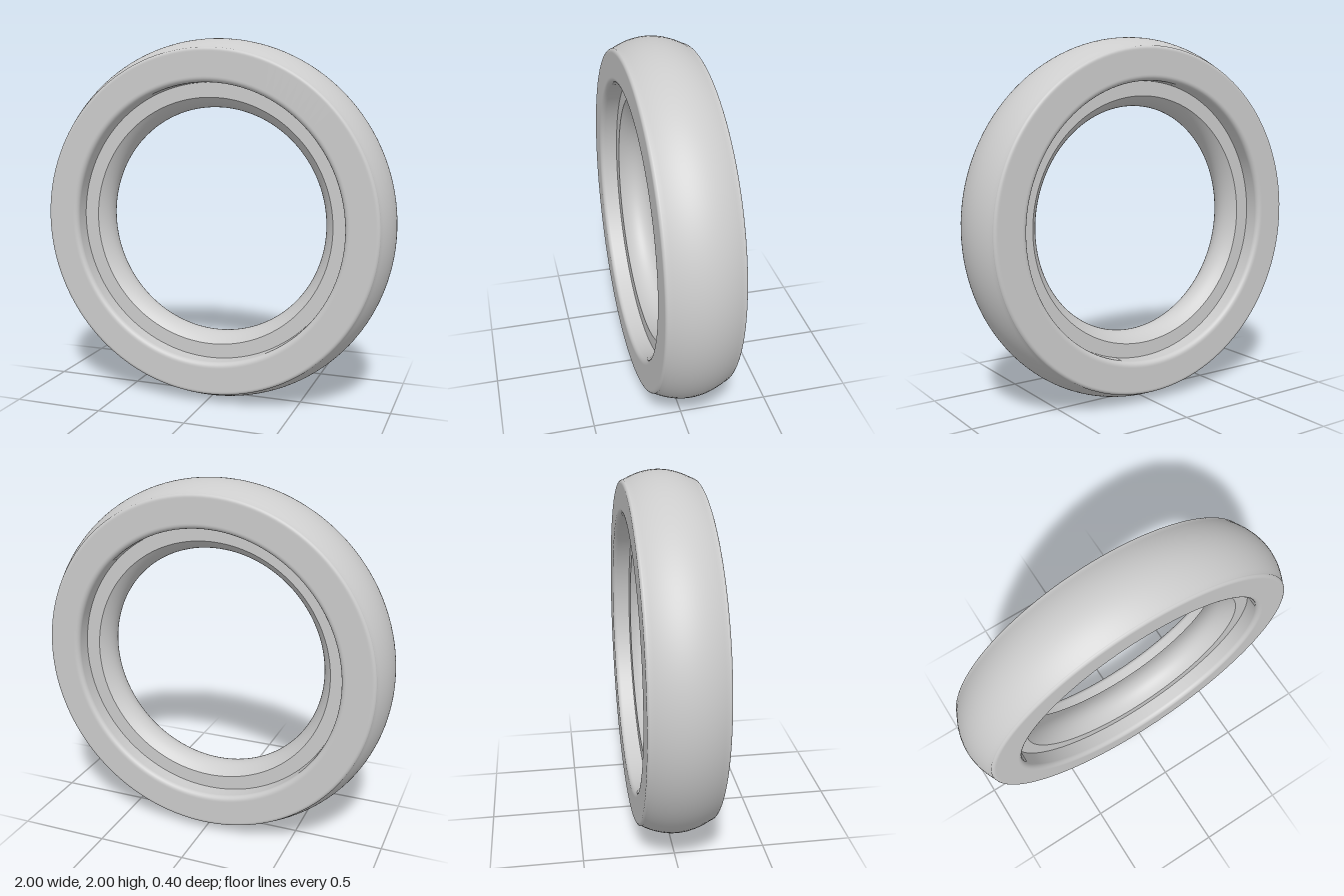
import * as THREE from 'three';

const SEGMENTS = 128;

// Rounded corner: quarter arc about (r, z) from angle a to b
function arc(r, z, radius, a, b, steps = 6) {
  return Array.from({ length: steps + 1 }, (_, i) => {
    const t = a + (b - a) * i / steps;
    return [r + radius * Math.cos(t), z + radius * Math.sin(t)];
  });
}

export function createModel() {
  const grey = new THREE.MeshStandardMaterial({ color: 0xcccccc });
  grey.name = 'light grey';
  const ring = new THREE.Group();
  ring.name = 'ring';

  // Spins a profile of [radius, depth] pairs around the ring's z axis
  function spin(name, profile) {
    const points = profile.map(([r, z]) => new THREE.Vector2(r, z));
    const geometry = new THREE.LatheGeometry(points, SEGMENTS);
    geometry.rotateX(Math.PI / 2);
    const mesh = new THREE.Mesh(geometry, grey);
    mesh.name = name;
    ring.add(mesh);
  }

  // Half of the outer body: crown, rounded shoulder, flat face, rounded step
  const half = [];
  for (let i = 1; i <= 10; i++) {
    const z = 0.183 * i / 10;
    half.push([1 - 0.052 * (z / 0.183) ** 2, z]);
  }
  half.push(
    ...arc(0.93, 0.18, 0.02, 0.35, Math.PI / 2, 5),
    [0.925, 0.2], [0.797, 0.2],
    ...arc(0.792, 0.173, 0.027, Math.PI / 2, Math.PI),
    [0.765, 0.1],
  );
  const mirror = ([r, z]) => [r, -z];
  spin('outerBody', [...half.map(mirror).reverse(), [1, 0], ...half]);

  // Recessed flat ledges on both sides
  spin('frontLedge', [[0.765, 0.1], [0.685, 0.1]]);
  spin('backLedge', [[0.685, -0.1], [0.765, -0.1]]);

  // Inner bore, bulging towards the centre
  const bore = [];
  for (let i = 0; i <= 16; i++) {
    const t = 1 - i / 8;
    bore.push([0.63 + 0.055 * t * t, 0.1 * t]);
  }
  spin('innerBore', bore);

  ring.position.y = 1;
  const model = new THREE.Group();
  model.name = 'ringModel';
  model.add(ring);
  return model;
}
